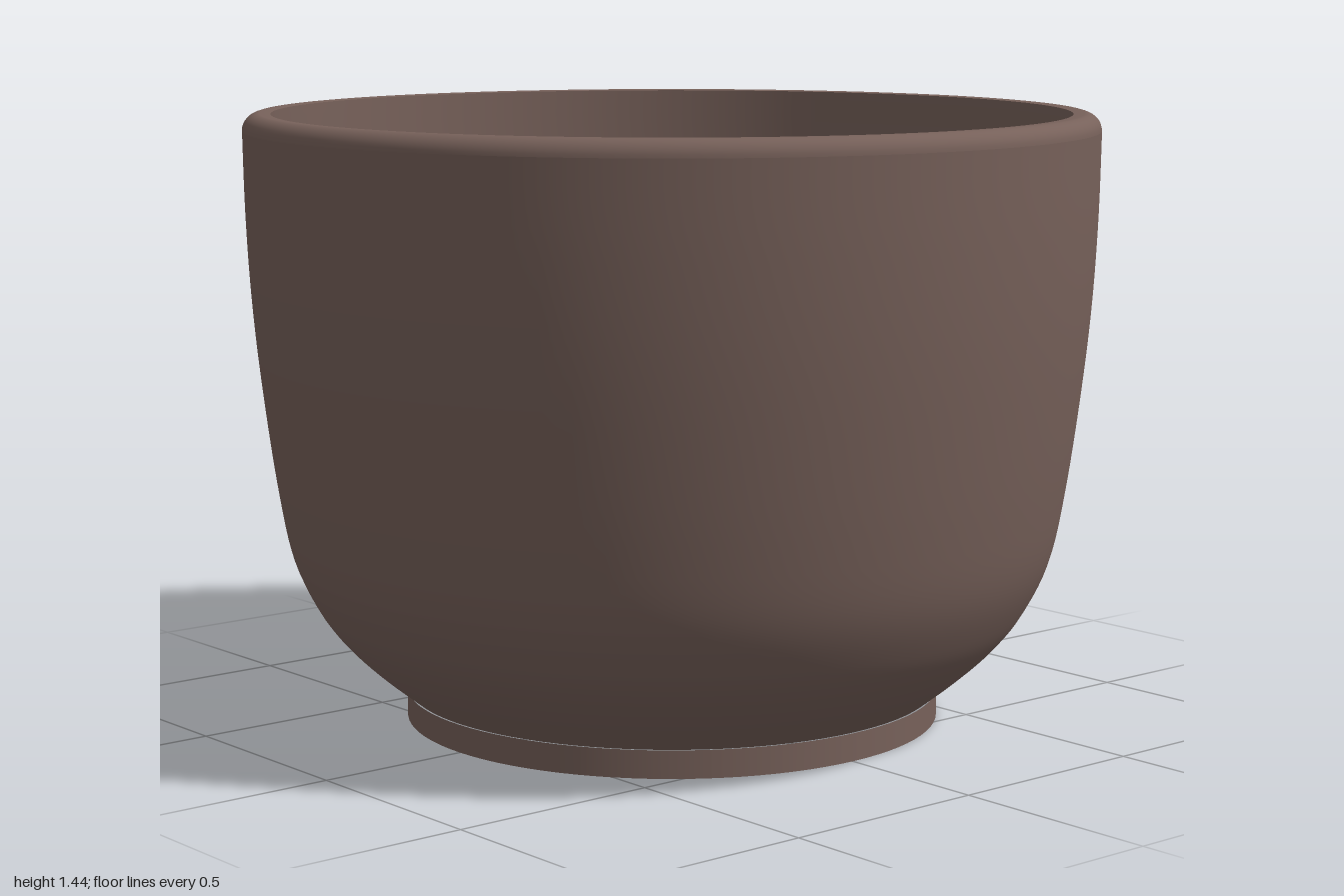
import * as THREE from 'three';

const clay = new THREE.MeshStandardMaterial({ color: 0x77615a });
clay.name = 'brown clay';

const vec = (pts) => pts.map(([r, y]) => new THREE.Vector2(r, y));
const smooth = (pts, n) => new THREE.SplineCurve(vec(pts)).getPoints(n);

// Revolve a profile; each smooth stretch is its own mesh so the edges between stay crisp
function turn(name, points) {
  const mesh = new THREE.Mesh(new THREE.LatheGeometry(points, 96), clay);
  mesh.name = name;
  return mesh;
}

export function createModel() {
  const cup = new THREE.Group();
  cup.name = 'cup';

  // Shallow recess and rounded ring under the foot
  cup.add(turn('footUnderside', [
    ...vec([[0, 0.035], [0.3, 0.035]]),
    ...smooth([[0.33, 0.033], [0.38, 0.026], [0.46, 0.022], [0.52, 0.016], [0.56, 0.004], [0.59, 0], [0.61, 0]], 24),
    ...vec([[0.635, 0]]),
  ]));

  // Straight foot band
  cup.add(turn('footBand', vec([[0.635, 0], [0.635, 0.065]])));

  // Outer wall
  cup.add(turn('outerWall', smooth([
    [0.63, 0.065], [0.71, 0.129], [0.785, 0.2], [0.845, 0.28], [0.9, 0.4],
    [0.934, 0.57], [0.965, 0.8], [0.985, 1.0], [0.996, 1.2], [1, 1.4],
  ], 48)));

  // Rim, rounded on the outside
  const rim = [];
  for (let i = 0; i <= 8; i++) {
    const a = (i / 8) * Math.PI / 2;
    rim.push(new THREE.Vector2(0.96 + 0.04 * Math.cos(a), 1.4 + 0.04 * Math.sin(a)));
  }
  cup.add(turn('rim', [...rim, new THREE.Vector2(0.934, 1.438)]));

  // Inner wall curving into the flat floor
  cup.add(turn('interior', [
    ...smooth([
      [0.934, 1.438], [0.93, 1.2], [0.917, 1.0], [0.897, 0.8], [0.867, 0.57],
      [0.835, 0.42], [0.79, 0.31], [0.74, 0.24], [0.69, 0.185], [0.67, 0.173], [0.645, 0.17],
    ], 60),
    ...vec([[0.6, 0.17], [0, 0.17]]),
  ]));

  return cup;
}
